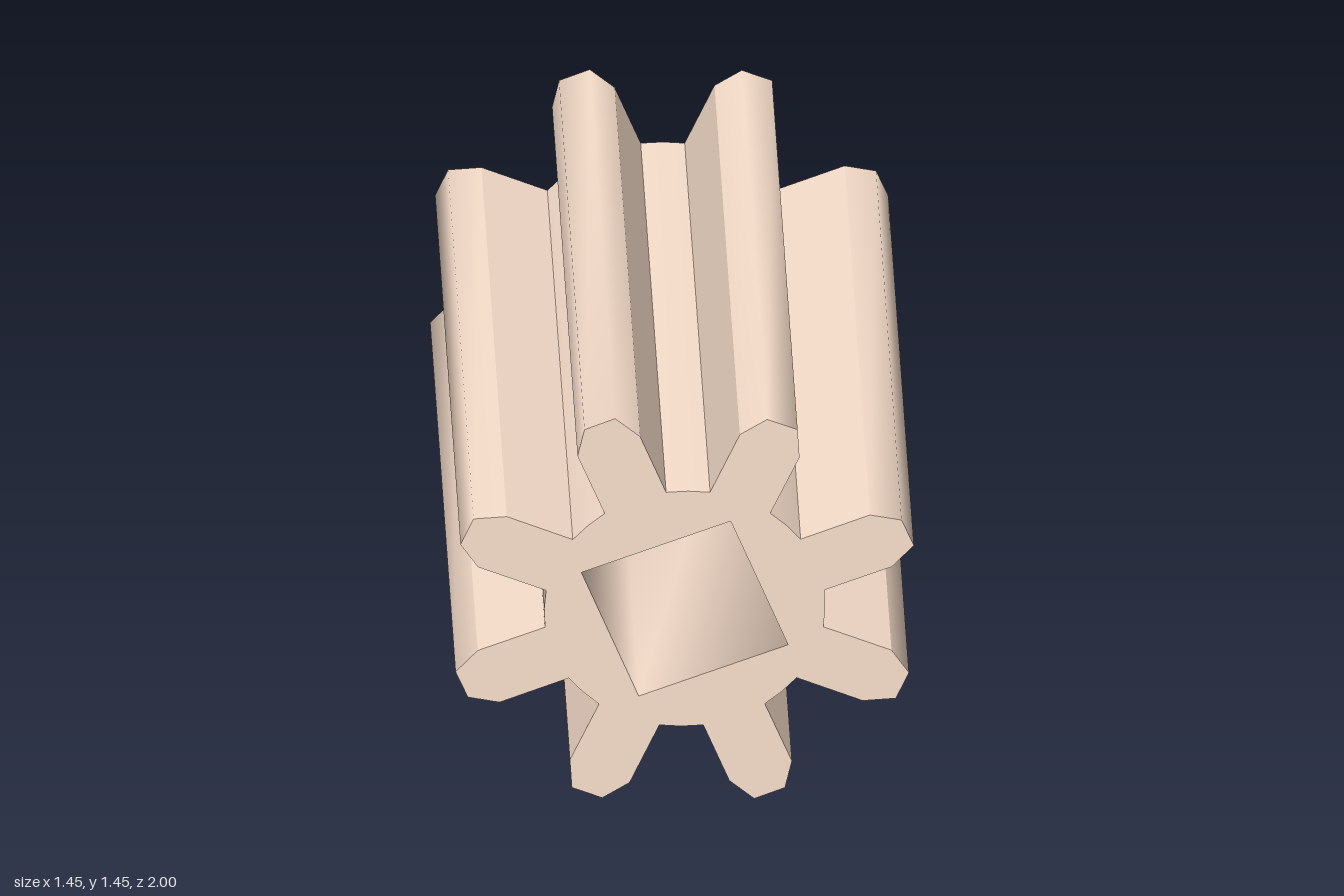
import * as THREE from 'three';
import { toCreasedNormals } from 'three/addons/utils/BufferGeometryUtils.js';

const TEETH = 8, HALF = 1, CENTRE_Y = 0.722;

// One pitch, counter-clockwise: flank, rounded tip, flank, root gap up to the next tooth
const FLANK_A = [[0.27, 0.353], [0.362, 0.561]];
const TIP = [[0.362, 0.561], [0.356, 0.666], [0.26, 0.707], [0.174, 0.652]];
const FLANK_B = [[0.174, 0.652], [0.08, 0.437]];
const ROOT = [[0.08, 0.437], [0.012, 0.443], [-0.059, 0.4405]];
const STRIPS = { flank: FLANK_A, tip: TIP, oppositeFlank: FLANK_B, root: ROOT };

// Turned square bore, clockwise so its walls face inward
const toPoints = (list) => list.map(([x, y]) => new THREE.Vector2(x, y));
const BORE = toPoints([[0.145, 0.326], [0.326, -0.145], [-0.145, -0.326], [-0.326, 0.145]]);

// Straight wall along z following an open line of points, smooth within itself
function wall(points) {
  const pos = [];
  for (let i = 0; i < points.length - 1; i++) {
    const a = points[i], b = points[i + 1];
    pos.push(a.x, a.y, -HALF, b.x, b.y, -HALF, b.x, b.y, HALF);
    pos.push(a.x, a.y, -HALF, b.x, b.y, HALF, a.x, a.y, HALF);
  }
  const geometry = new THREE.BufferGeometry();
  geometry.setAttribute('position', new THREE.Float32BufferAttribute(pos, 3));
  return toCreasedNormals(geometry, 1.8);
}

export function createModel() {
  const group = new THREE.Group();
  group.name = 'pinionGear';
  const material = new THREE.MeshStandardMaterial({ color: 0xfae0cd });
  const add = (name, geometry) => {
    const mesh = new THREE.Mesh(geometry, material);
    mesh.name = name;
    mesh.position.y = CENTRE_Y;
    group.add(mesh);
    return mesh;
  };

  // Teeth: flat flanks, rounded tips and roots; the outline collects for the end faces
  const outline = [];
  const origin = new THREE.Vector2();
  for (let i = 0; i < TEETH; i++) {
    const turn = (i / TEETH) * Math.PI * 2;
    for (const [name, strip] of Object.entries(STRIPS)) {
      const points = toPoints(strip).map((p) => p.rotateAround(origin, turn));
      add(`${name}${i + 1}`, wall(points));
      outline.push(...points.slice(0, -1));
    }
  }

  // Square bore, shaded smoothly round its corners
  add('boreWall', wall([...BORE, BORE[0]]));

  // Flat end faces with the bore cut out; the back one is mirrored, then turned to face -z
  const endFace = (edge, hole) => {
    const shape = new THREE.Shape(edge);
    shape.holes.push(new THREE.Path(hole));
    return new THREE.ShapeGeometry(shape);
  };
  const mirrored = (points) => points.map((p) => new THREE.Vector2(-p.x, p.y)).reverse();
  add('frontFace', endFace(outline, BORE)).position.z = HALF;
  add('backFace', endFace(mirrored(outline), mirrored(BORE)).rotateY(Math.PI)).position.z = -HALF;

  return group;
}
